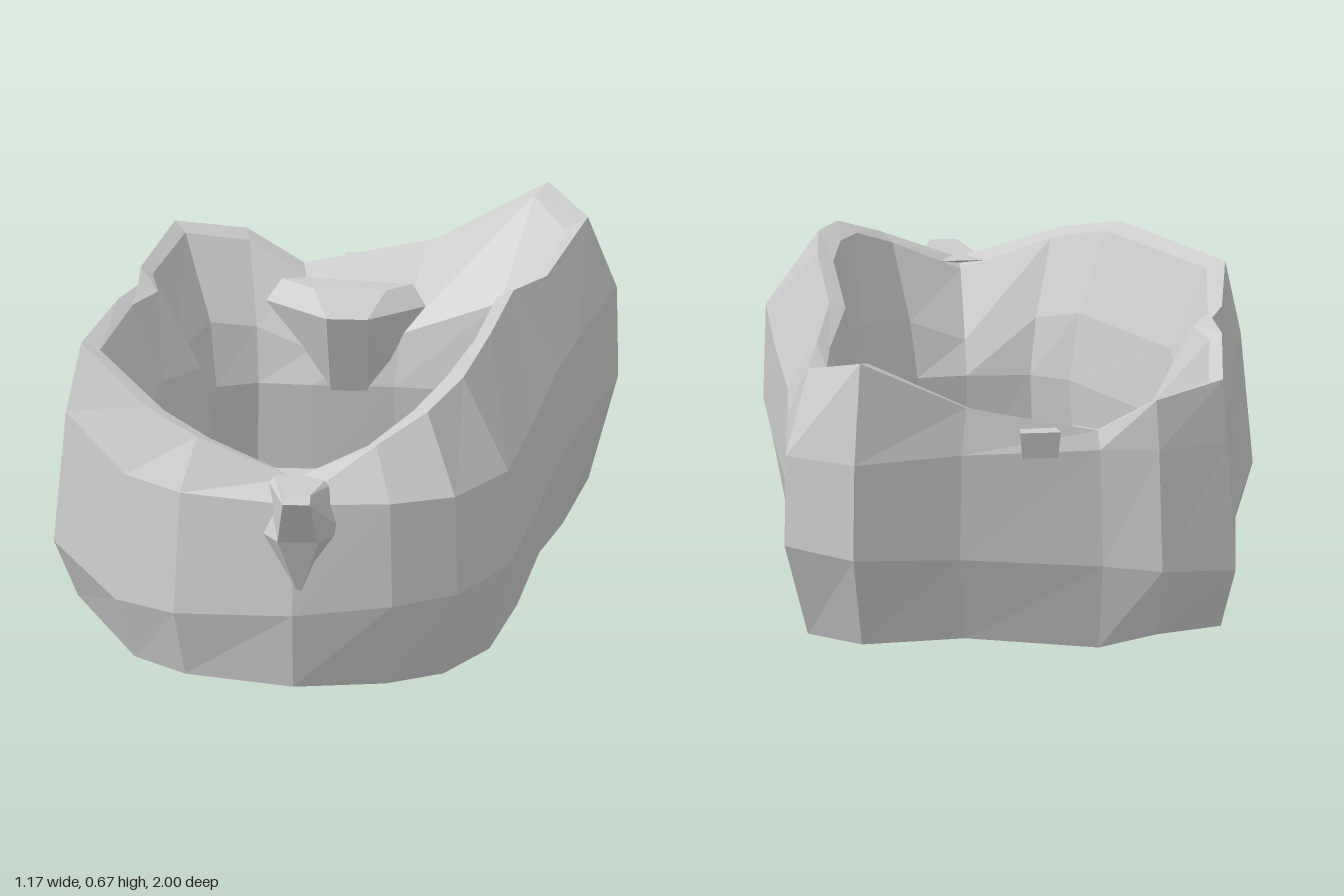
import * as THREE from 'three';

// Stations round the ring: outer x, z, inner x, z, rim height
const STATIONS = [
  [0, 0.92, 0, 0.65, 0.49],
  [0.22, 0.89, 0.11, 0.64, 0.56],
  [0.36, 0.82, 0.18, 0.52, 0.61],
  [0.46, 0.6, 0.24, 0.4, 0.635],
  [0.485, 0.2, 0.31, 0.2, 0.65],
  [0.505, -0.22, 0.32, -0.18, 0.635],
  [0.53, -0.45, 0.385, -0.42, 0.6],
  [0.585, -0.88, 0.35, -0.6, 0.63],
  [0.445, -1, 0.32, -0.67, 0.67],
  [0.2, -0.93, 0.1, -0.7, 0.55],
  [-0.12, -0.92, -0.08, -0.7, 0.49],
  [-0.25, -0.945, -0.2, -0.71, 0.56],
  [-0.42, -0.885, -0.29, -0.67, 0.59],
  [-0.47, -0.45, -0.34, -0.42, 0.6],
  [-0.49, -0.29, -0.27, -0.31, 0.6],
  [-0.51, -0.18, -0.355, -0.2, 0.6],
  [-0.585, 0.2, -0.375, 0.21, 0.61],
  [-0.41, 0.7, -0.22, 0.58, 0.6],
  [-0.27, 0.84, -0.14, 0.64, 0.565],
];

// Faceted surface through rings of points: a hoop joins last to first and leaves each
// cross-section open; otherwise cross-sections are closed loops with capped ends
function loft(rings, hoop) {
  const pos = [], n = rings.length, m = rings[0].length;
  const quad = (a, b, c, d) => pos.push(...a, ...b, ...c, ...a, ...c, ...d);
  for (let i = 0; i < (hoop ? n : n - 1); i++) {
    const A = rings[i], B = rings[(i + 1) % n];
    for (let j = 0; j < (hoop ? m - 1 : m); j++) quad(A[j], B[j], B[(j + 1) % m], A[(j + 1) % m]);
  }
  if (!hoop) {
    quad(...rings[0]);
    quad(...[...rings[n - 1]].reverse());
  }
  const g = new THREE.BufferGeometry();
  g.setAttribute('position', new THREE.Float32BufferAttribute(pos, 3));
  g.computeVertexNormals();
  return g;
}

// Hollow wall, open underneath: bulging outside, folded rim, inside leaning inward to the foot
function wallSection([ox, oz, ix, iz, h]) {
  const at = (s, y) => [ox + (ix - ox) * s, y, oz + (iz - oz) * s];
  // The rim lies further in along the middle of the +x side
  const inset = 0.28 + 0.1 * oz + 0.6 * Math.max(0, ox) * (1 - oz * oz);
  // The outer foot sags slightly at the middle of the back
  const foot = oz < -0.9 && Math.abs(ox) < 0.15 ? 0 : 0.03;
  return [
    at(0.12 + 0.25 * Math.abs(ox), foot), at(0.01, 0.2 + 0.08 * ox), at(0.08 - 0.1 * ox, 0.45), at(inset, h),
    at(inset + 0.2, h - 0.015), at(0.88, h * 0.68), at(1, 0.26), at(0.93, 0.03),
  ];
}

// Horizontal slice of a small fitting: half widths at its root z0 and its tip z1
const slice = (y, w0, w1, z0, z1) => [[-w1, y, z1], [-w0, y, z0], [w0, y, z0], [w1, y, z1]];

export function createModel() {
  const model = new THREE.Group();
  const grey = new THREE.MeshStandardMaterial({ color: 0xcccccc, flatShading: true, side: THREE.DoubleSide });
  const add = (name, geometry, x = 0) => {
    const mesh = new THREE.Mesh(geometry, grey);
    mesh.name = name;
    mesh.position.x = x;
    model.add(mesh);
  };

  add('ringWall', loft(STATIONS.map(wallSection), true));

  // Pointed lug in the front notch
  add('frontLug', loft([
    slice(0.26, 0.02, 0.005, 0.85, 0.915), slice(0.38, 0.1, 0.045, 0.85, 0.95),
    slice(0.48, 0.08, 0.03, 0.8, 1), slice(0.495, 0.07, 0.03, 0.76, 0.97),
  ], false), 0.015);

  // Broad tongue tapering inward from the back rim
  add('backTongue', loft([
    slice(0.25, 0.12, 0.04, -0.76, -0.7), slice(0.43, 0.23, 0.045, -0.82, -0.64),
    slice(0.47, 0.2, 0.08, -0.86, -0.74),
  ], false));

  // Small clip on the back rim
  add('backClip', loft([slice(0.44, 0.04, 0.04, -0.92, -0.86), slice(0.5, 0.045, 0.04, -0.93, -0.88)], false), 0.02);

  return model;
}
